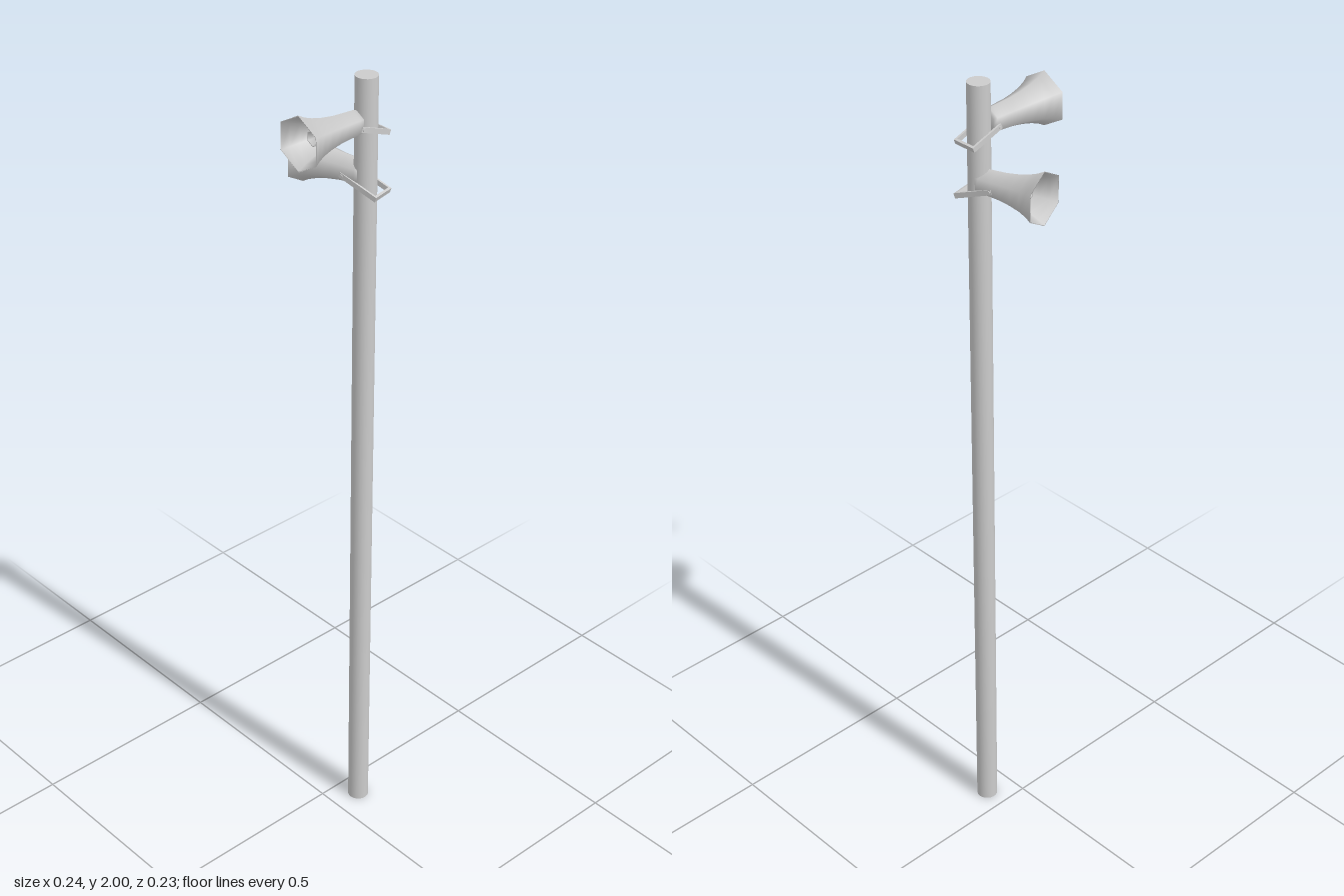
import * as THREE from 'three';

const grey = new THREE.MeshStandardMaterial({ color: 0xcccccc });
const greyThin = new THREE.MeshStandardMaterial({ color: 0xcccccc, side: THREE.DoubleSide });

function addMesh(parent, name, geometry, material = grey) {
  const mesh = new THREE.Mesh(geometry, material);
  mesh.name = name;
  parent.add(mesh);
  return mesh;
}

// Six-sided lathe lying along z, opening towards -z, with a corner on top
function hornLathe(profile) {
  const points = profile.map(([r, d]) => new THREE.Vector2(r, d));
  return new THREE.LatheGeometry(points, 6).rotateX(-Math.PI / 2);
}

// One loudspeaker; d is measured forwards from the back of the horn
function createSpeaker(name, armLength, armStart) {
  const speaker = new THREE.Group();
  speaker.name = name;

  // Flared shell: outside from the back to the rim, then inside to the throat
  addMesh(speaker, 'hornShell', hornLathe([
    [0, 0], [0.022, 0.001], [0.029, 0.008], [0.031, 0.018], [0.033, 0.05],
    [0.035, 0.075], [0.04, 0.105], [0.047, 0.132], [0.055, 0.153], [0.0645, 0.17],
    [0.0625, 0.17], [0.053, 0.153], [0.044, 0.132], [0.036, 0.105], [0.029, 0.07], [0, 0.07],
  ]), greyThin);

  // Small driver cone in the middle of the mouth
  addMesh(speaker, 'innerHorn', hornLathe([
    [0.012, 0.07], [0.014, 0.11], [0.019, 0.13], [0.016, 0.13], [0.01, 0.115], [0, 0.112],
  ]), greyThin);

  // U-shaped bracket sloping down behind the pole
  const bracket = new THREE.Group();
  bracket.name = 'bracket';
  bracket.position.set(0, -0.005, -armStart);
  bracket.rotation.x = 0.35;
  const length = armLength / Math.cos(0.35);
  for (const side of [-1, 1]) {
    addMesh(bracket, 'bracketArm', new THREE.BoxGeometry(0.005, 0.012, length))
      .position.set(side * 0.0275, 0, length / 2);
    // Pivot bolt through the arm
    addMesh(bracket, 'pivotBolt', new THREE.CylinderGeometry(0.004, 0.004, 0.008, 8).rotateZ(Math.PI / 2))
      .position.set(side * 0.028, 0, 0.006);
  }
  addMesh(bracket, 'bracketBar', new THREE.BoxGeometry(0.06, 0.012, 0.006))
    .position.set(0, 0, length - 0.003);
  speaker.add(bracket);
  return speaker;
}

export function createModel() {
  const model = new THREE.Group();
  model.name = 'loudspeakerPole';
  const poleX = 0.073, poleZ = 0.057;

  // Pole
  addMesh(model, 'pole', new THREE.CylinderGeometry(0.026, 0.026, 2, 20))
    .position.set(poleX, 1, poleZ);

  // Speakers: height, heading about the pole, forward offset of the horn, bracket size
  const speakers = [
    ['upperSpeaker', 1.9, Math.PI / 2, 0.023, 0.082, 0.016],
    ['lowerSpeaker', 1.772, 0.226, -0.004, 0.095, 0.053],
  ];
  for (const [name, y, heading, offset, armLength, armStart] of speakers) {
    const speaker = createSpeaker(name, armLength, armStart);
    speaker.rotation.y = heading;
    speaker.position.set(
      poleX - Math.sin(heading) * offset, y, poleZ - Math.cos(heading) * offset);
    model.add(speaker);
  }
  return model;
}
